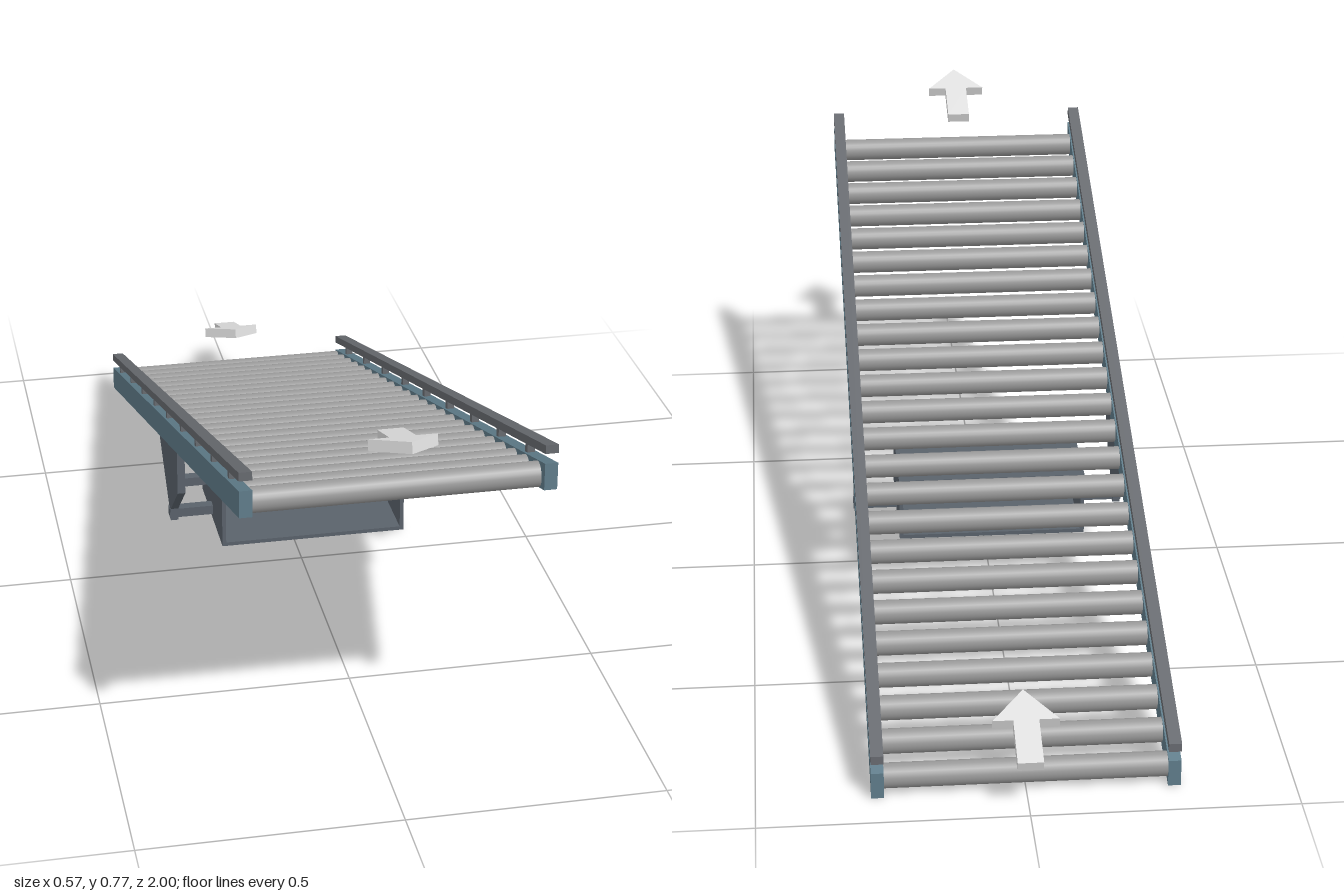
import * as THREE from 'three';

const SLOPE = 0.333;      // rise per unit of z
const MID = 0.335;        // height of the frame centre at z = 0
const Z0 = -0.92, Z1 = 0.91;

function material(name, color) {
  const m = new THREE.MeshStandardMaterial({ color });
  m.name = name;
  return m;
}

export function createModel() {
  const blue = material('blue grey paint', 0x607d8b);
  const rollerGrey = material('roller grey', 0x9a9a9a);
  const steel = material('dark steel', 0x5a626b);
  const railGrey = material('rail grey', 0x686b70);
  const arrowGrey = material('pale grey', 0xe0e0e0);

  const model = new THREE.Group();
  model.name = 'inclinedRollerConveyor';

  function add(name, geometry, mat, x = 0, y = 0, z = 0, parent = model) {
    const mesh = new THREE.Mesh(geometry, mat);
    mesh.name = name;
    mesh.position.set(x, y, z);
    parent.add(mesh);
    return mesh;
  }

  // Boxes follow the incline but keep vertical ends
  const incline = new THREE.Matrix4().set(
    1, 0, 0, 0,
    0, 1, SLOPE, 0,
    0, 0, 1, 0,
    0, 0, 0, 1);
  const slopedBox = (w, h, d) => new THREE.BoxGeometry(w, h, d).applyMatrix4(incline);
  const heightAt = z => MID + SLOPE * z;

  // Rollers across the bed
  const rollers = new THREE.Group();
  rollers.name = 'rollers';
  model.add(rollers);
  const rollerGeo = new THREE.CylinderGeometry(0.0225, 0.0225, 0.53, 24).rotateZ(Math.PI / 2).scale(1, 1.07, 1);
  for (let i = 0; i < 24; i++) {
    const z = -0.897 + i * 0.0768;
    add('roller', rollerGeo, rollerGrey, 0, heightAt(z), z, rollers);
  }

  // Hanger plate outline in the z-y plane, its top hidden inside the side frame
  const hangerShape = new THREE.Shape([
    [0.122, 0.365], [0.122, 0.25], [0.013, 0.157], [0.013, 0.13],
    [-0.013, 0.13], [-0.013, 0.157], [-0.132, 0.258], [-0.132, 0.28],
  ].map(([z, y]) => new THREE.Vector2(-z, y)));
  const hangerGeo = new THREE.ExtrudeGeometry(hangerShape, { depth: 0.016, bevelEnabled: false })
    .translate(0, 0, -0.008).rotateY(Math.PI / 2);

  const length = Z1 - Z0, zc = (Z0 + Z1) / 2;
  for (const side of [1, -1]) {
    const group = new THREE.Group();
    group.name = side > 0 ? 'leftSide' : 'rightSide';
    model.add(group);
    const x = side * 0.2755;

    // Side frame, guide rail and its posts
    add('sideFrame', slopedBox(0.024, 0.053, length), blue, x, heightAt(zc), zc, group);
    add('guideRail', slopedBox(0.024, 0.017, length), railGrey, x, heightAt(zc) + 0.0545, zc, group);
    const postGeo = slopedBox(0.014, 0.026, 0.016);
    for (let i = 0; i < 9; i++) {
      const z = 0.77 - i * 0.1985;
      add('railPost', postGeo, railGrey, x, heightAt(z) + 0.036, z, group);
    }

    // Hanger and the two bars that hold the duct
    add('hangerPlate', hangerGeo, steel, x, 0, 0, group);
    add('upperBar', new THREE.BoxGeometry(0.08, 0.019, 0.022), steel, side * 0.23, 0.216, 0, group);
    add('lowerBar', new THREE.BoxGeometry(0.095, 0.02, 0.022), steel, side * 0.2375, 0.145, 0, group);
  }

  // Hollow duct, open at front and back
  const rect = (Type, x, y0, y1) => new Type([
    new THREE.Vector2(-x, y0), new THREE.Vector2(x, y0),
    new THREE.Vector2(x, y1), new THREE.Vector2(-x, y1)]);
  const ductShape = rect(THREE.Shape, 0.193, 0.122, 0.256);
  ductShape.holes.push(rect(THREE.Path, 0.185, 0.13, 0.248));
  add('duct', new THREE.ExtrudeGeometry(ductShape, { depth: 0.262, bevelEnabled: false }), steel, 0, 0, -0.131);

  // Direction arrows floating at both ends, pointing up the incline
  const arrowShape = new THREE.Shape([
    [0, 0.087], [-0.0625, 0.014], [-0.024, 0.014], [-0.024, -0.087],
    [0.024, -0.087], [0.024, 0.014], [0.0625, 0.014],
  ].map(([x, y]) => new THREE.Vector2(x, y)));
  const arrowGeo = new THREE.ExtrudeGeometry(arrowShape, { depth: 0.021, bevelEnabled: false })
    .translate(0, 0, -0.0105).rotateX(Math.PI / 2 - Math.atan(SLOPE));
  add('upperArrow', arrowGeo, arrowGrey, 0, 0.737, 0.914);
  add('lowerArrow', arrowGeo, arrowGrey, 0, 0.133, -0.914);

  return model;
}
